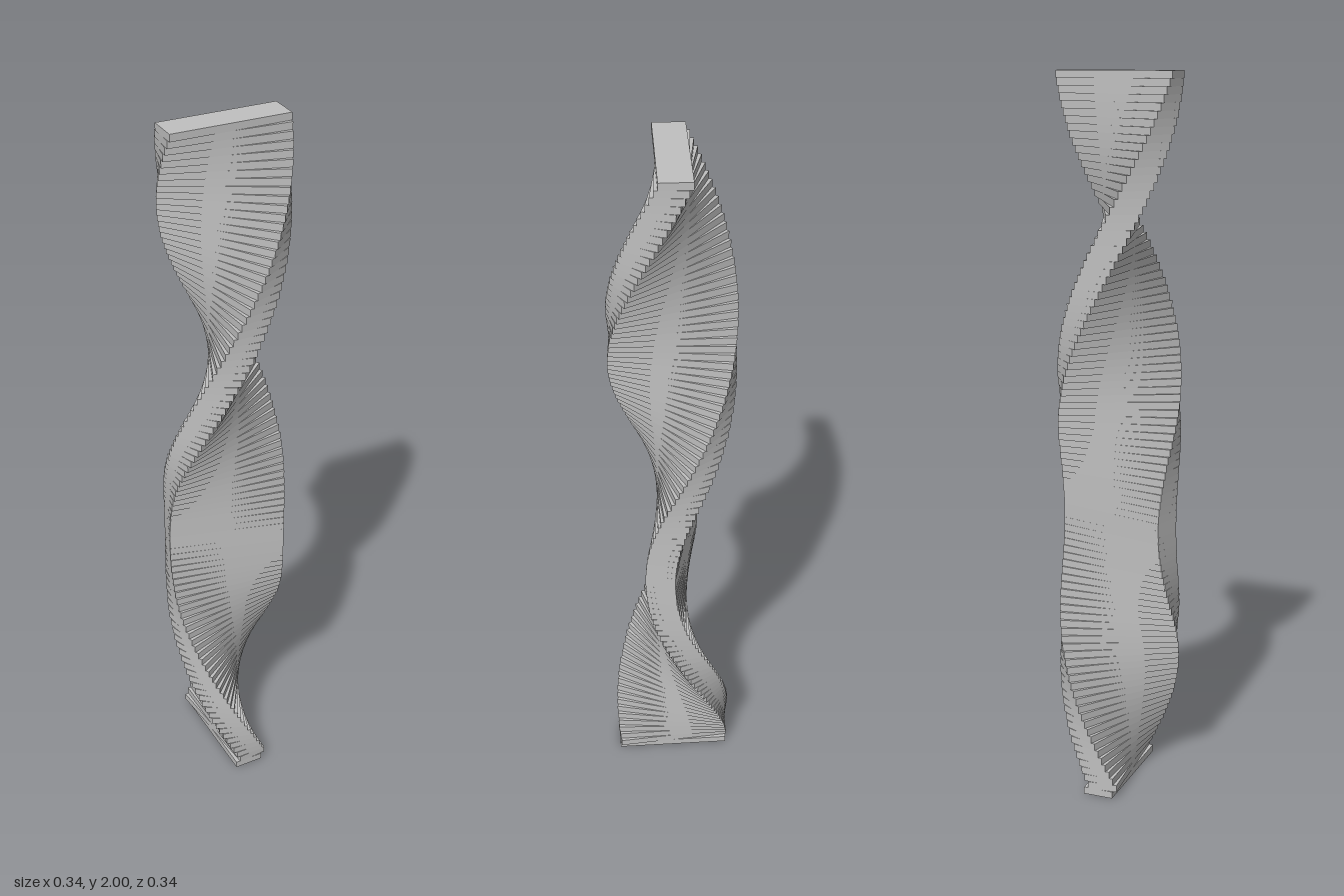
import * as THREE from 'three';

const LAYERS = 100, HEIGHT = 2, LENGTH = 0.329, THICKNESS = 0.085;

// Turn of the bar in degrees at height y: falls, eases round, then rises steadily
function twist(y) {
  const s = Math.abs(y - 0.775), rate = 180, ease = 0.27;
  const turn = s < ease ? rate * s * s / (2 * ease) : rate * (s - ease / 2);
  return 21.5 + turn;
}

export function createModel() {
  const model = new THREE.Group();
  model.name = 'twistedColumn';
  const grey = new THREE.MeshStandardMaterial({ color: 0xc0c0c0 });
  grey.name = 'grey';

  // Stack of thin rectangular slabs, each turned a little from the one below
  const step = HEIGHT / LAYERS;
  const slab = new THREE.BoxGeometry(LENGTH, step, THICKNESS);
  for (let i = 0; i < LAYERS; i++) {
    const y = (i + 0.5) * step;
    const mesh = new THREE.Mesh(slab, grey);
    mesh.name = i === 0 ? 'baseSlab' : `slab${i}`;
    mesh.position.y = y;
    // the base slab is turned back slightly
    mesh.rotation.y = THREE.MathUtils.degToRad(i === 0 ? 127 : twist(y));
    model.add(mesh);
  }
  return model;
}
